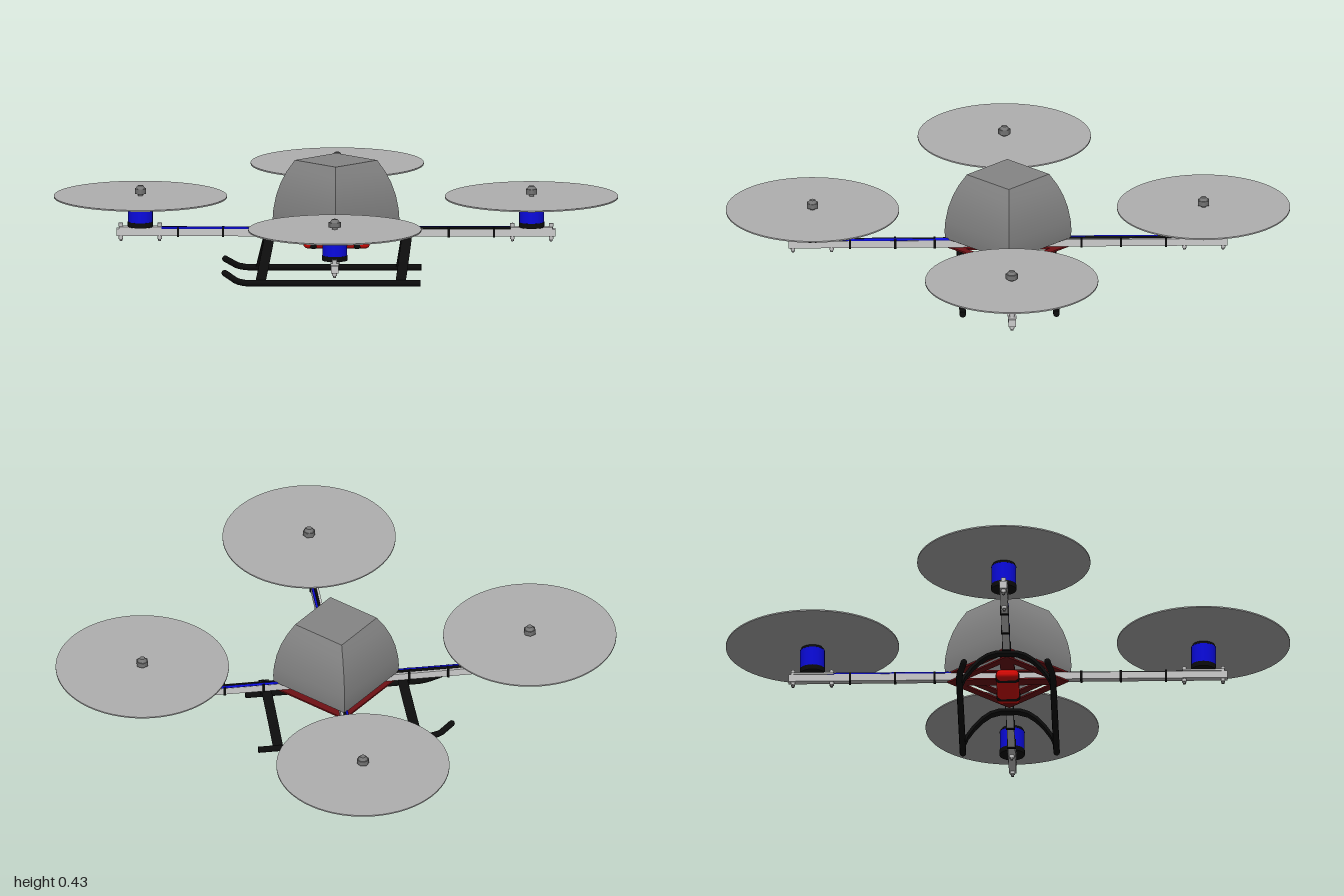
import * as THREE from 'three';
import { toCreasedNormals } from 'three/addons/utils/BufferGeometryUtils.js';
import { RoundedBoxGeometry } from 'three/addons/geometries/RoundedBoxGeometry.js';

const mat = (color) => new THREE.MeshStandardMaterial({ color });
const silver = mat(0xcccccc), discGrey = mat(0xb0b0b0), shellGrey = mat(0x858585);
const black = mat(0x0c0c0c), blue = mat(0x0a0ae0), red = mat(0xe00a05), darkRed = mat(0x701014);
const steel = mat(0x777777);
shellGrey.side = THREE.DoubleSide;

function add(parent, name, geometry, material, x = 0, y = 0, z = 0) {
  const mesh = new THREE.Mesh(geometry, material);
  mesh.name = name;
  mesh.position.set(x, y, z);
  parent.add(mesh);
  return mesh;
}
const box = (x, y, z) => new THREE.BoxGeometry(x, y, z);
const cyl = (r, h, n = 24, top = r) => new THREE.CylinderGeometry(top, r, h, n);

// One boom with its motor and rotor, pointing along +x
function createArm() {
  const arm = new THREE.Group();
  const R = 0.693;
  add(arm, 'boom', box(0.77, 0.026, 0.026), silver, 0.393, 0.167, 0);
  for (const x of [0.26, 0.4, 0.56]) add(arm, 'cableTie', box(0.008, 0.034, 0.032), black, x, 0.168, 0);

  // motor cables along the top of the boom
  [blue, black].forEach((m, i) => {
    const cable = add(arm, 'cable', cyl(0.0045, 0.5, 8), m, 0.4, 0.183, i * 0.009 - 0.009);
    cable.rotation.z = Math.PI / 2;
  });

  // mounting plate and bolts
  add(arm, 'motorMount', box(0.15, 0.007, 0.03), silver, R, 0.184, 0);
  for (const x of [0.625, 0.762]) {
    add(arm, 'bolt', cyl(0.005, 0.065, 8), steel, x, 0.168, 0);
    add(arm, 'boltHead', cyl(0.009, 0.012, 6), silver, x, 0.194, 0);
    add(arm, 'boltNut', cyl(0.009, 0.012, 6), silver, x, 0.149, 0);
  }

  // motor can
  add(arm, 'motorBase', cyl(0.045, 0.018), black, R, 0.196, 0);
  add(arm, 'motorCan', cyl(0.044, 0.07), blue, R, 0.24, 0);
  add(arm, 'motorCap', cyl(0.045, 0.01, 24, 0.04), black, R, 0.28, 0);

  // rotor disc and hub
  add(arm, 'rotorDisc', cyl(0.307, 0.005, 64), discGrey, R, 0.295, 0);
  add(arm, 'rotorShaft', cyl(0.009, 0.04, 12), steel, R, 0.3, 0);
  add(arm, 'hubNut', cyl(0.022, 0.018, 6), steel, R, 0.314, 0);
  add(arm, 'hubTip', cyl(0.018, 0.012, 12, 0.01), steel, R, 0.328, 0);
  return arm;
}

// Diamond plate with four triangular openings between its diagonals
function createPlate() {
  const r = 0.215;
  const shape = new THREE.Shape([[r, 0], [0, r], [-r, 0], [0, -r]].map(([x, y]) => new THREE.Vector2(x, y)));
  for (const sx of [-1, 1]) for (const sy of [-1, 1]) {
    shape.holes.push(new THREE.Path([[0.025, 0.025], [0.15, 0.025], [0.025, 0.15]]
      .map(([x, y]) => new THREE.Vector2(sx * x, sy * y))));
  }
  return new THREE.ExtrudeGeometry(shape, { depth: 0.006, bevelEnabled: false }).rotateX(-Math.PI / 2);
}

// Arched strip joining both skids, leaning along x toward its feet
function createLegArch(lean) {
  const outer = [[0.168, 0.012], [0.155, 0.045], [0.13, 0.085], [0.1, 0.12], [0.07, 0.143], [0.04, 0.154]];
  const inner = [[0.03, 0.144], [0.065, 0.133], [0.093, 0.111], [0.121, 0.079], [0.145, 0.042], [0.157, 0.01]];
  const mirror = (pts) => pts.map(([z, y]) => [-z, y]).reverse();
  const outline = [...outer, ...mirror(outer), ...mirror(inner), ...inner];
  const shape = new THREE.Shape(outline.map(([z, y]) => new THREE.Vector2(z, y)));
  const g = new THREE.ExtrudeGeometry(shape, { depth: 0.036, bevelEnabled: false });
  g.translate(0, 0, -0.018).rotateY(-Math.PI / 2);
  const p = g.attributes.position;
  for (let i = 0; i < p.count; i++) p.setX(i, p.getX(i) + lean * (0.15 - p.getY(i)));
  return toCreasedNormals(g, 0.5);
}

// Round skid rail with its nose turned up and inward
function createSkid(side) {
  const pts = [[0.3, 0.012, 0.166], [0, 0.012, 0.166], [-0.32, 0.012, 0.166],
    [-0.35, 0.018, 0.164], [-0.393, 0.045, 0.148]];
  const path = new THREE.CurvePath();
  const v = pts.map(([x, y, z]) => new THREE.Vector3(x, y, z * side));
  for (let i = 1; i < v.length; i++) path.add(new THREE.LineCurve3(v[i - 1], v[i]));
  return new THREE.TubeGeometry(path, 60, 0.0115, 10);
}

export function createModel() {
  const model = new THREE.Group();
  model.name = 'quadcopter';

  // booms and rotors
  for (let i = 0; i < 4; i++) {
    const arm = createArm();
    arm.name = 'rotorArm' + (i + 1);
    arm.rotation.y = i * Math.PI / 2;
    model.add(arm);
  }

  // four-sided hood, open underneath
  const profile = [[0.222, 0.183], [0.225, 0.21], [0.222, 0.25], [0.212, 0.3], [0.196, 0.345],
    [0.175, 0.385], [0.146, 0.426], [0, 0.427]].map(([x, y]) => new THREE.Vector2(x, y));
  add(model, 'hood', toCreasedNormals(new THREE.LatheGeometry(profile, 4), 0.5), shellGrey);

  // frame plates and corner spacers
  add(model, 'upperPlate', createPlate(), darkRed, 0, 0.18, 0);
  add(model, 'lowerPlate', createPlate(), darkRed, 0, 0.148, 0);
  for (let i = 0; i < 4; i++) {
    const a = i * Math.PI / 2;
    add(model, 'spacer', cyl(0.005, 0.03, 8), darkRed, 0.19 * Math.cos(a), 0.167, 0.19 * Math.sin(a));
  }

  // battery with straps
  add(model, 'battery', new RoundedBoxGeometry(0.235, 0.036, 0.08, 3, 0.015), red, 0.002, 0.131, 0);
  for (const x of [-0.08, 0.075]) {
    add(model, 'batteryStrap', new RoundedBoxGeometry(0.032, 0.04, 0.085, 3, 0.014), black, x, 0.131, 0);
  }

  // landing gear
  add(model, 'rearLeg', createLegArch(0.15), black, 0.25, 0, 0).geometry.scale(-1, 1, -1);
  add(model, 'frontLeg', createLegArch(0.22), black, -0.237, 0, 0).geometry.scale(-1, 1, -1);
  for (const side of [-1, 1]) {
    add(model, side > 0 ? 'nearSkid' : 'farSkid', createSkid(side), black);
    const nose = add(model, 'skidNose', new THREE.SphereGeometry(0.0115, 10, 8), black, -0.393, 0.045, 0.148 * side);
    nose.clone().position.set(0.3, 0.012, 0.166 * side);
    add(model, 'skidTail', cyl(0.0115, 0.002, 10), black, 0.3, 0.012, 0.166 * side).rotation.z = Math.PI / 2;
  }
  return model;
}
